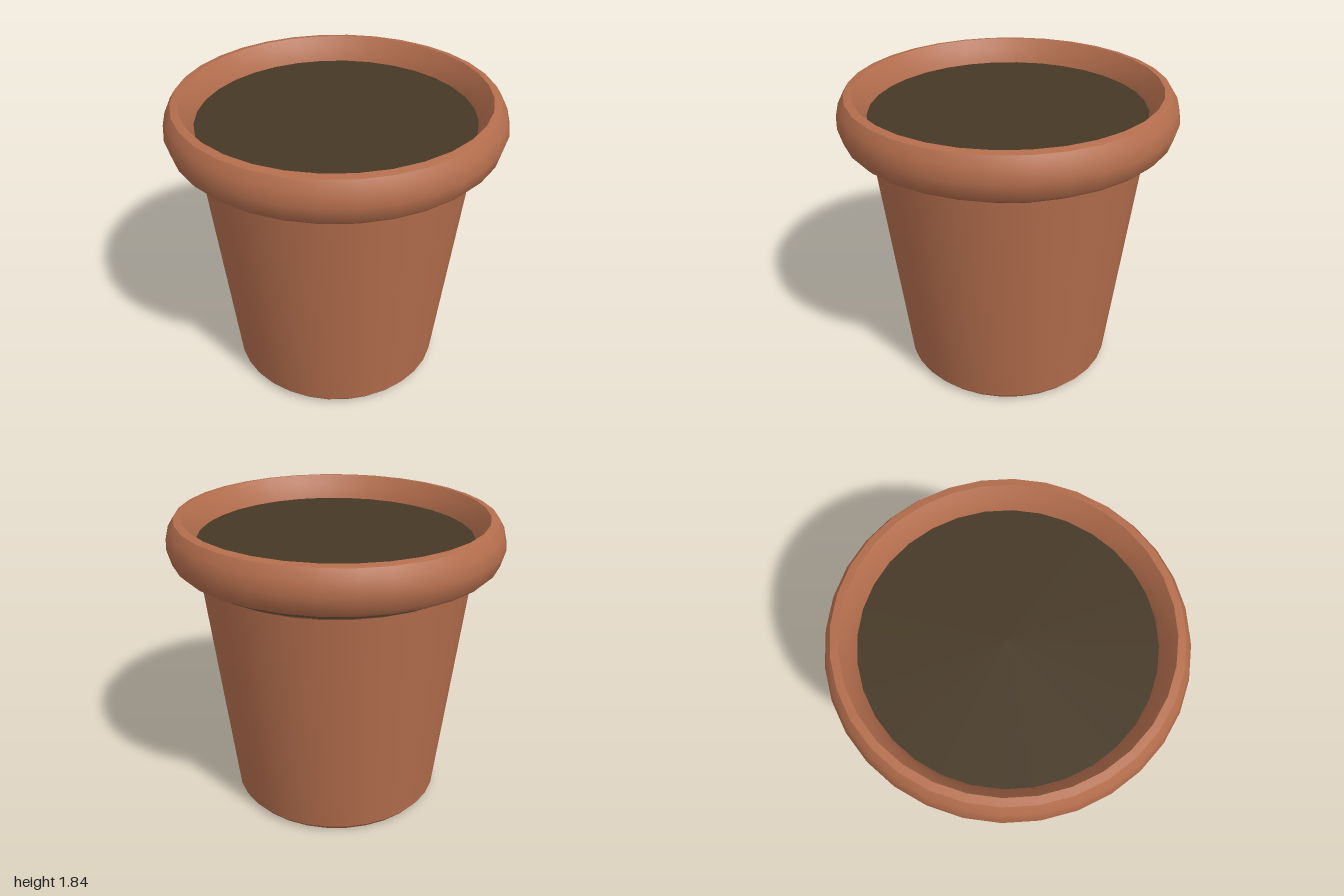
import * as THREE from 'three';
import { toCreasedNormals } from 'three/addons/utils/BufferGeometryUtils.js';

const SIDES = 32;

// Revolve a profile of [radius, y] pairs; sharp bends stay sharp
function turned(profile, crease = 0.55) {
  const points = profile.map(([r, y]) => new THREE.Vector2(r, y));
  return toCreasedNormals(new THREE.LatheGeometry(points, SIDES), crease);
}

export function createModel() {
  const terracotta = new THREE.MeshStandardMaterial({ name: 'terracotta', color: 0xb46e4d });
  const earth = new THREE.MeshStandardMaterial({ name: 'darkEarth', color: 0x463826 });

  const group = new THREE.Group();
  group.name = 'flowerPot';
  const add = (name, geometry, material) => {
    const mesh = new THREE.Mesh(geometry, material);
    mesh.name = name;
    group.add(mesh);
    return mesh;
  };

  // Tapered body with a bevelled foot and a small flare under the rim
  add('body', turned([
    [0, 0], [0.63, 0.005], [0.655, 0.035], [0.818, 1.5], [0.845, 1.53], [0, 1.535],
  ]), terracotta);

  // Thick rounded rim, sloping inward to the soil, set very slightly askew
  const rimMiddle = 1.69;
  const rim = add('rim', turned([
    [0.8, 1.54], [0.85, 1.545], [0.945, 1.567], [0.972, 1.595], [0.998, 1.69],
    [0.978, 1.77], [0.945, 1.822], [0.9, 1.83], [0.86, 1.77], [0.825, 1.69],
    [0.8, 1.6], [0.8, 1.54],
  ].map(([r, y]) => [r, y - rimMiddle])), terracotta);
  rim.position.y = rimMiddle;
  rim.rotation.set(0.005, 0, 0.008);

  // Soil plug whose lower edge just peeks out beneath the rim
  const soil = add('soil', new THREE.CylinderGeometry(0.86, 0.86, 0.165, SIDES), earth);
  soil.position.set(0.007, 1.605, -0.006);
  soil.rotation.set(0.005, 0, 0.008);

  return group;
}
